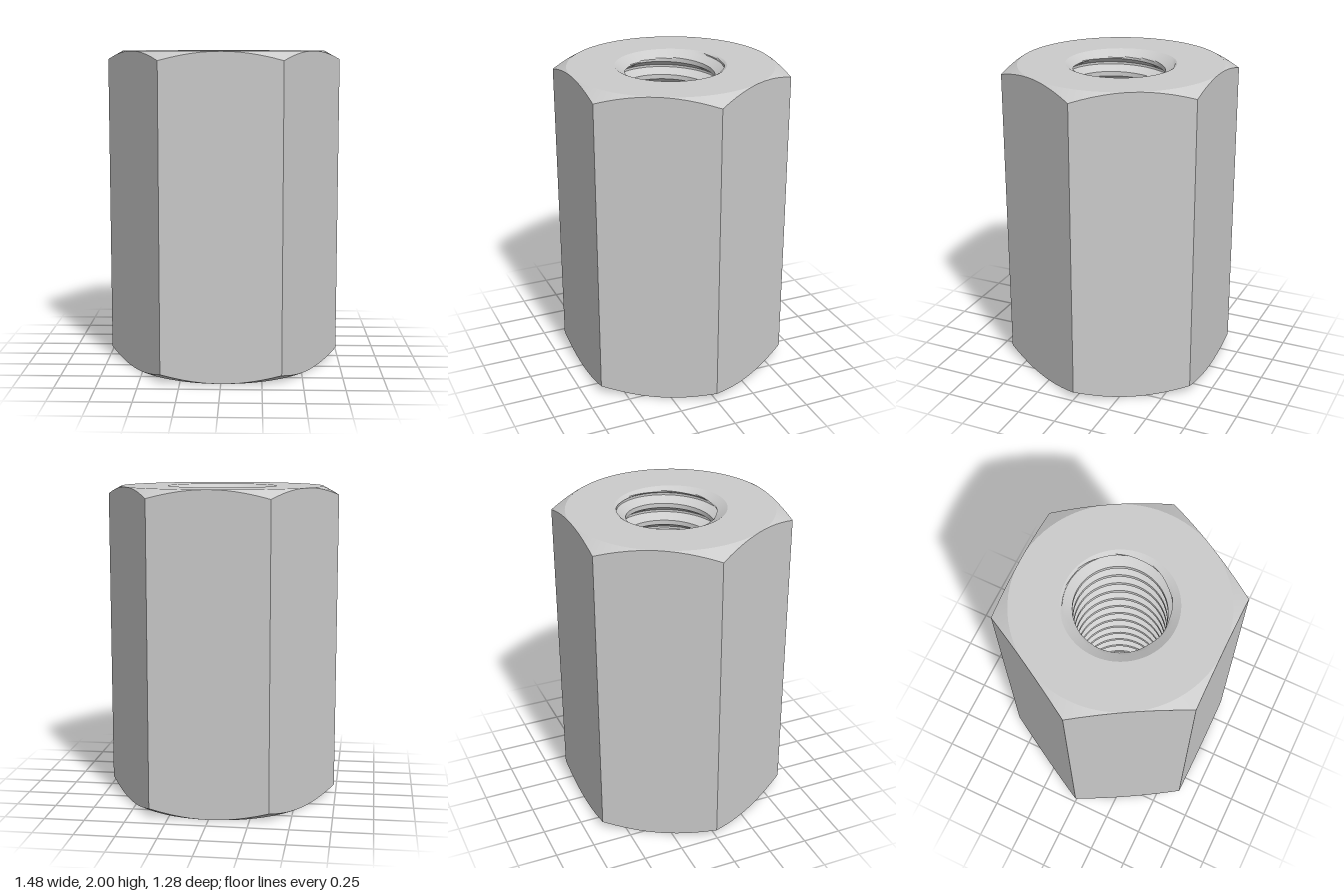
import * as THREE from 'three';
import { toCreasedNormals } from 'three/addons/utils/BufferGeometryUtils.js';

const HEIGHT = 2, APOTHEM = 0.64, CHAMFER_SLOPE = 0.55;
const MINOR = 0.275, MAJOR = 0.33, PITCH = 0.115;
const SINK_RADIUS = 0.345, SINK_DEPTH = 0.04;
const COLUMNS = 72, STEPS = 16; // around the axis, and per thread turn

// Sweeps rows of points around the axis; point(row, angle) gives [radius, y].
function sweep(rows, point, crease) {
  const positions = [], index = [], w = COLUMNS + 1;
  for (let j = 0; j < rows; j++) {
    for (let i = 0; i <= COLUMNS; i++) {
      const a = (i / COLUMNS) * Math.PI * 2;
      const [r, y] = point(j, a);
      positions.push(r * Math.sin(a), y, -r * Math.cos(a));
    }
  }
  for (let j = 0; j < rows - 1; j++) {
    for (let i = 0; i < COLUMNS; i++) {
      const p = j * w + i, q = p + w;
      // skip quads that collapse onto a rim
      if (positions[p * 3 + 1] === positions[q * 3 + 1] &&
          positions[p * 3] === positions[q * 3] &&
          positions[p * 3 + 4] === positions[q * 3 + 4] &&
          positions[p * 3 + 3] === positions[q * 3 + 3]) continue;
      index.push(p, p + 1, q, p + 1, q + 1, q);
    }
  }
  const geometry = new THREE.BufferGeometry();
  geometry.setAttribute('position', new THREE.Float32BufferAttribute(positions, 3));
  geometry.setIndex(index);
  return toCreasedNormals(geometry, crease);
}

// Hexagonal outside: end faces, conical corner chamfers and six flats
function bodyPoint(row, a) {
  const side = Math.PI / 3;
  const local = ((a + side / 2) % side) - side / 2;
  const r = APOTHEM / Math.cos(local);
  const drop = CHAMFER_SLOPE * (r - APOTHEM);
  return [
    [SINK_RADIUS, HEIGHT], [APOTHEM, HEIGHT], [r, HEIGHT - drop],
    [r, drop], [APOTHEM, 0], [SINK_RADIUS, 0],
  ][row];
}

// Threaded bore: rows follow the right-hand helix, widened by a countersink at each end
const FIRST_TURN = -18, LAST_TURN = 1.25;
function borePoint(row, a) {
  const turn = FIRST_TURN + row / STEPS;
  const y = THREE.MathUtils.clamp(1.985 + PITCH * (turn - a / (Math.PI * 2)), 0, HEIGHT);
  const d = Math.abs(turn - Math.round(turn)); // distance from the groove centre, in turns
  const flank = THREE.MathUtils.clamp((d - 1 / 16) / (5 / 16), 0, 1);
  const thread = THREE.MathUtils.lerp(MAJOR, MINOR, flank);
  const depth = Math.min(y, HEIGHT - y);
  const sink = SINK_RADIUS - (SINK_RADIUS - MINOR) * depth / SINK_DEPTH;
  return [Math.max(thread, sink), y];
}

export function createModel() {
  const group = new THREE.Group();
  group.name = 'couplingNut';
  const material = new THREE.MeshStandardMaterial({ color: 0xcccccc });

  const body = new THREE.Mesh(sweep(6, bodyPoint, 0.4), material);
  body.name = 'hexBody';

  const rows = (LAST_TURN - FIRST_TURN) * STEPS + 1;
  const bore = new THREE.Mesh(sweep(rows, borePoint, 0.4), material);
  bore.name = 'threadedBore';

  group.add(body, bore);
  return group;
}
